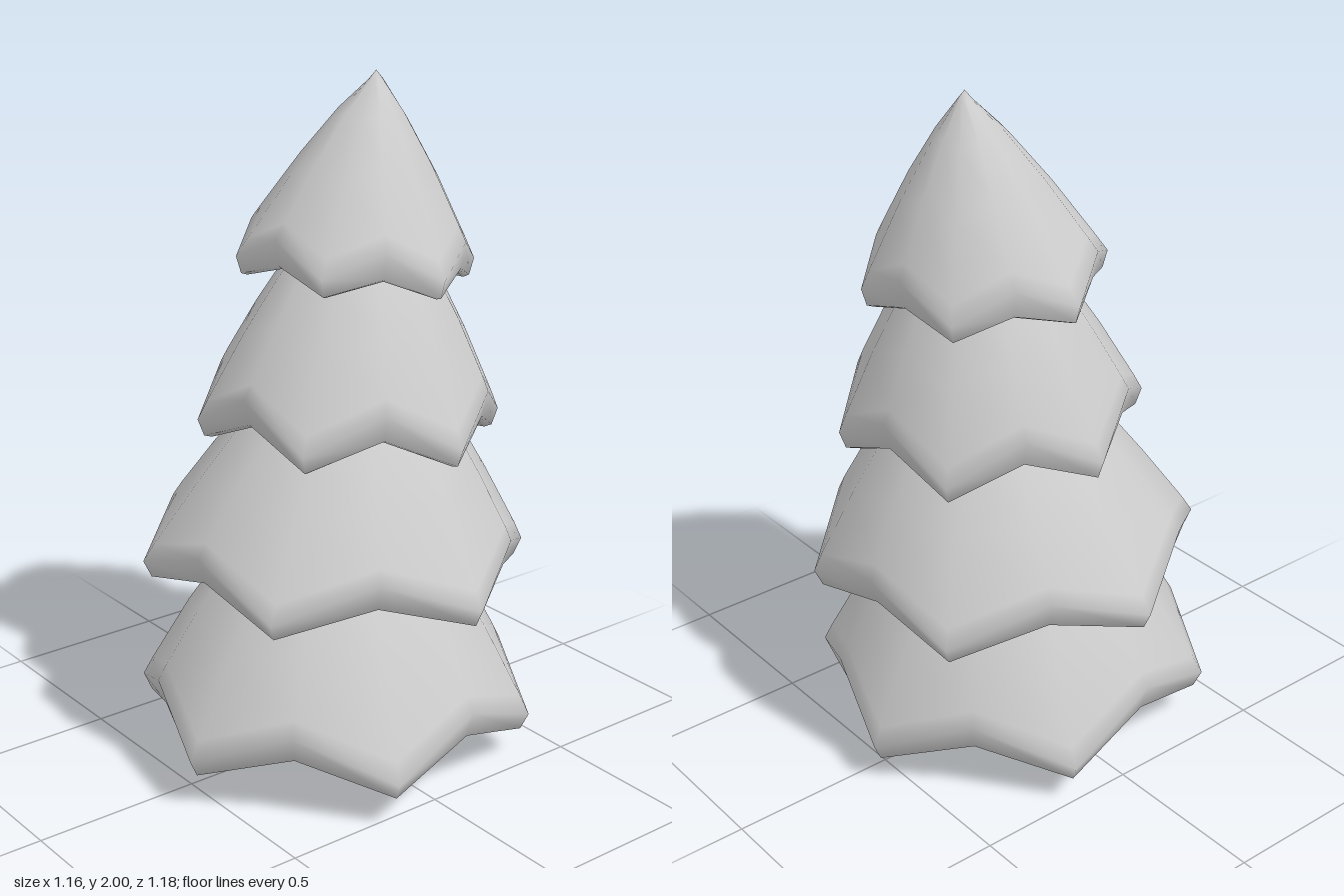
import * as THREE from 'three';
import { mergeVertices } from 'three/addons/utils/BufferGeometryUtils.js';

const material = new THREE.MeshStandardMaterial({ color: 0xcccccc });
const { lerp } = THREE.MathUtils;

// Six low corners of a rim, given as [x, z]; raised scallops are added halfway between.
function scallopedRim(corners, y, rise, tilt) {
  return corners.flatMap(([x, z], i) => {
    const [nx, nz] = corners[(i + 1) % corners.length];
    const mx = (x + nx) / 2 * 1.04, mz = (z + nz) / 2 * 1.04;
    return [
      new THREE.Vector3(x, y + tilt * z, z),
      new THREE.Vector3(mx, y + rise + tilt * mz, mz),
    ];
  });
}

// Solid skirt: blunt top, slope, rounded lip, then a shallow underside running inward.
function tierGeometry(top, radius, bulge, rim) {
  const centre = rim.reduce((sum, p) => sum.add(p), new THREE.Vector3()).divideScalar(rim.length);
  // [blend from top to rim, horizontal scale, height offset, share of the lip height]
  const rings = [
    [0, 0, 0, 1], [0, 1, -0.025, 1], [0.25, (1 + bulge) / 2, 0, 1], [0.55, bulge, 0, 1],
    [0.9, 1.01, 0, 1], [1, 1, 0, 1], [1, 0.96, 0, 0.1], [1, 0.91, 0, 0],
    [0.98, 0.8, 0, 0], [0.86, 0.4, 0, 0],
  ];
  const n = rim.length, positions = [], index = [];
  for (const [t, scale, dy, lipShare] of rings) {
    const mx = lerp(top.x, centre.x, t), mz = lerp(top.z, centre.z, t);
    rim.forEach((p, i) => {
      // The lip is taller at the raised scallops
      const lip = (i % 2 ? 0.085 : 0.055) * lipShare;
      const a = Math.atan2(p.z - centre.z, p.x - centre.x);
      const x = lerp(top.x + radius * Math.cos(a), p.x, t);
      const z = lerp(top.z + radius * Math.sin(a), p.z, t);
      positions.push(lerp(mx, x, scale), lerp(top.y, p.y + lip, t) + dy, lerp(mz, z, scale));
    });
  }
  for (let j = 0; j < rings.length - 1; j++) {
    for (let i = 0; i < n; i++) {
      const a = j * n + i, c = j * n + (i + 1) % n;
      index.push(a, c, a + n, c, c + n, a + n);
    }
  }
  let geometry = new THREE.BufferGeometry();
  geometry.setAttribute('position', new THREE.Float32BufferAttribute(positions, 3));
  geometry.setIndex(index);
  geometry = mergeVertices(geometry);
  geometry.computeVertexNormals();
  return geometry;
}

export function createModel() {
  const tree = new THREE.Group();
  tree.name = 'tree';

  function addTier(name, top, radius, bulge, rim) {
    const mesh = new THREE.Mesh(tierGeometry(top, radius, bulge, rim), material);
    mesh.name = name;
    tree.add(mesh);
  }

  // Four tiers of branches, from the ground up
  addTier('bottomTier', new THREE.Vector3(0.01, 0.72, -0.03), 0.25, 1.03, scallopedRim(
    [[-0.08, -0.59], [0.475, -0.385], [0.58, 0.2], [0.13, 0.587], [-0.425, 0.385], [-0.53, -0.21]],
    0.09, 0.09, 0.02));
  addTier('lowerMiddleTier', new THREE.Vector3(0.01, 1.12, -0.08), 0.24, 1.02, scallopedRim(
    [[-0.34, -0.52], [0.23, -0.565], [0.58, -0.09], [0.33, 0.45], [-0.25, 0.482], [-0.58, 0.01]],
    0.54, 0.075, 0.035));
  addTier('upperMiddleTier', new THREE.Vector3(0, 1.56, -0.12), 0.16, 1.03, scallopedRim(
    [[-0.24, -0.435], [0.21, -0.47], [0.45, -0.12], [0.265, 0.29], [-0.17, 0.335], [-0.42, -0.035]],
    0.97, 0.085, 0.04));
  addTier('topTier', new THREE.Vector3(0, 2, -0.17), 0.02, 1.05, scallopedRim(
    [[-0.21, -0.385], [0.145, -0.42], [0.35, -0.13], [0.2, 0.175], [-0.15, 0.207], [-0.36, -0.075]],
    1.43, 0.05, 0.07));

  // Square, tapered, hollow trunk
  const trunkMaterial = material.clone();
  trunkMaterial.side = THREE.DoubleSide;
  trunkMaterial.flatShading = true;
  const trunk = new THREE.Mesh(
    new THREE.CylinderGeometry(0.135, 0.25, 0.3, 4, 1, true, Math.PI / 4), trunkMaterial);
  trunk.position.set(-0.005, 0.15, -0.02);
  trunk.name = 'trunk';
  tree.add(trunk);

  return tree;
}
